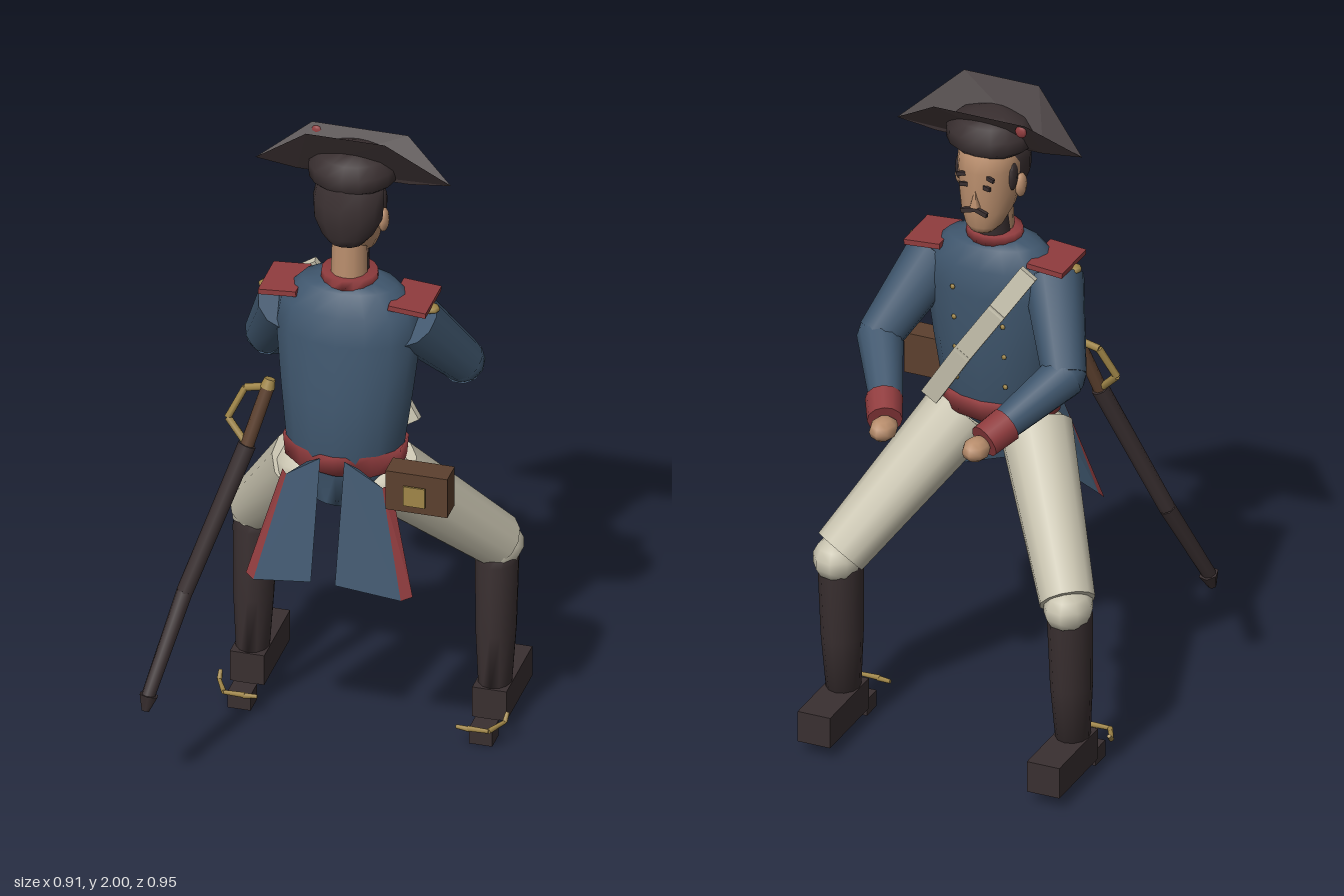
import * as THREE from 'three';

const mat = (name, color, side = THREE.FrontSide) => {
  const m = new THREE.MeshStandardMaterial({ color, side });
  m.name = name;
  return m;
};
const V = (p) => new THREE.Vector3(...p);

export function createModel() {
  const blue = mat('coat blue', 0x3f566d, THREE.DoubleSide);
  const red = mat('facing red', 0x903c3e, THREE.DoubleSide);
  const cream = mat('breeches cream', 0xc9c4b0);
  const skin = mat('skin', 0xb88d6c);
  const dark = mat('black leather', 0x392f30, THREE.DoubleSide);
  const brown = mat('brown leather', 0x5c402e);
  const gold = mat('brass', 0xa08648);

  const root = new THREE.Group();
  root.name = 'cavalryman';
  const body = new THREE.Group();
  body.name = 'body';
  body.position.x = 0.032;
  root.add(body);

  const add = (name, geo, m, pos = [0, 0, 0], parent = body) => {
    const mesh = new THREE.Mesh(geo, m);
    mesh.name = name;
    mesh.position.set(...pos);
    parent.add(mesh);
    return mesh;
  };
  const box = (name, size, pos, m, parent) => add(name, new THREE.BoxGeometry(...size), m, pos, parent);
  const ball = (name, r, pos, m, w = 12, h = 8) =>
    add(name, new THREE.SphereGeometry(1, w, h).scale(...r), m, pos);
  // Tapered round limb between two points
  const limb = (name, a, b, ra, rb, m, parent = body, sides = 12) => {
    const p = V(a), d = V(b).sub(p);
    const mesh = add(name, new THREE.CylinderGeometry(rb, ra, d.length(), sides), m, [0, 0, 0], parent);
    mesh.position.copy(p).addScaledVector(d, 0.5);
    mesh.quaternion.setFromUnitVectors(new THREE.Vector3(0, 1, 0), d.normalize());
    return mesh;
  };
  // Flat sheet as a triangle fan
  const sheet = (name, pts, m) => {
    const pos = [];
    for (let i = 1; i < pts.length - 1; i++) pos.push(...pts[0], ...pts[i], ...pts[i + 1]);
    const g = new THREE.BufferGeometry();
    g.setAttribute('position', new THREE.Float32BufferAttribute(pos, 3));
    g.computeVertexNormals();
    return add(name, g, m);
  };
  // Stacked ellipses: [y, rx, rz, zCentre], closed at both ends
  const loft = (name, rings, m, sides = 16) => {
    const pos = [], idx = [], n = rings.length;
    rings.forEach(([y, rx, rz, zc]) => {
      for (let i = 0; i < sides; i++) {
        const t = (i / sides) * Math.PI * 2;
        pos.push(Math.sin(t) * rx, y, zc + Math.cos(t) * rz);
      }
    });
    for (let j = 0; j < n - 1; j++) for (let i = 0; i < sides; i++) {
      const a = j * sides + i, b = j * sides + ((i + 1) % sides);
      idx.push(a, b, b + sides, a, b + sides, a + sides);
    }
    for (let i = 1; i < sides - 1; i++) {
      const t = (n - 1) * sides;
      idx.push(0, i + 1, i, t, t + i, t + i + 1);
    }
    const g = new THREE.BufferGeometry();
    g.setAttribute('position', new THREE.Float32BufferAttribute(pos, 3));
    g.setIndex(idx);
    g.computeVertexNormals();
    return add(name, g, m);
  };

  // Coat body, collar and waist sash
  loft('coat', [
    [0.86, 0.08, 0.06, 0.09], [0.97, 0.15, 0.11, 0.05], [1.04, 0.172, 0.135, 0.05],
    [1.2, 0.192, 0.14, 0.035], [1.38, 0.212, 0.136, 0.02], [1.46, 0.2, 0.12, 0.015],
    [1.52, 0.14, 0.088, 0.01], [1.535, 0.08, 0.07, 0.01],
  ], blue);
  loft('collar', [[1.525, 0.083, 0.08, 0.01], [1.555, 0.08, 0.076, 0.01]], red);
  loft('waistSash', [[0.968, 0.175, 0.122, 0.048], [1.038, 0.18, 0.14, 0.048]], red, 10);

  // Shoulder strap across the chest
  const strap = [[-0.15, 1.48, -0.098], [-0.07, 1.36, -0.125], [0.04, 1.2, -0.115], [0.15, 1.03, -0.088]];
  for (let i = 0; i < strap.length - 1; i++) {
    const a = V(strap[i]), b = V(strap[i + 1]);
    const m = box('shoulderStrap', [0.055, 0.022, a.distanceTo(b) + 0.015], [0, 0, 0], cream);
    m.position.copy(a).lerp(b, 0.5);
    m.up.set(0, 0, 1);
    const target = b.clone();
    m.parent.remove(m);
    m.lookAt(target);
    body.add(m);
  }

  for (const s of [1, -1]) {
    const P = (x, y, z) => [s * x, y, z];

    // Epaulettes
    box('epaulette', [0.11, 0.016, 0.16], P(0.189, 1.488, 0.01), red).rotation.z = -s * 0.08;
    ball('epauletteKnob', [0.03, 0.014, 0.024], P(0.235, 1.467, 0.015), gold, 8, 6);

    // Arms
    limb('upperArm', P(0.178, 1.425, 0.015), P(0.285, 1.215, -0.145), 0.088, 0.064, blue);
    ball('elbow', [0.064, 0.064, 0.064], P(0.283, 1.215, -0.145), blue);
    limb('forearm', P(0.285, 1.215, -0.14), P(0.168, 1.11, -0.35), 0.066, 0.045, blue);
    limb('cuff', P(0.188, 1.125, -0.325), P(0.153, 1.098, -0.395), 0.053, 0.05, red);
    ball('hand', [0.04, 0.034, 0.052], P(0.143, 1.087, -0.425), skin, 8, 6);

    // Legs and boots
    limb('thigh', P(0.115, 0.925, 0.035), P(0.35, 0.57, -0.265), 0.105, 0.08, cream);
    ball('hip', [0.1, 0.075, 0.1], P(0.115, 0.91, 0.03), cream);
    ball('knee', [0.07, 0.066, 0.084], P(0.355, 0.555, -0.27), cream, 9, 7);
    const boot = loft('boot', [[0.12, 0.048, 0.055, -0.235], [0.3, 0.058, 0.07, -0.245],
      [0.52, 0.062, 0.077, -0.255], [0.56, 0.055, 0.06, -0.26]], dark, 12);
    boot.position.x = s * 0.353;
    box('bootFoot', [0.1, 0.095, 0.26], P(0.353, 0.085, -0.305), dark);
    box('heel', [0.068, 0.05, 0.065], P(0.352, 0.025, -0.123), dark);

    // Spurs
    const spur = [P(0.325, 0.07, -0.055), P(0.385, 0.07, -0.055), P(0.416, 0.072, -0.115), P(0.418, 0.092, -0.135)];
    for (let i = 0; i < 3; i++) limb('spur', spur[i], spur[i + 1], 0.008, 0.006, gold, body, 6);
    limb('spurStrap', P(0.29, 0.068, -0.06), P(0.33, 0.068, -0.055), 0.006, 0.008, gold, body, 6);

    // Coat tails with a red turned edge
    sheet('coatTail', [P(0.035, 1.03, 0.186), P(0.035, 0.68, 0.28), P(0.215, 0.635, 0.238),
      P(0.14, 0.95, 0.165), P(0.075, 1.01, 0.18)], blue);
    sheet('coatTailEdge', [P(0.14, 0.95, 0.165), P(0.215, 0.635, 0.238), P(0.243, 0.64, 0.215),
      P(0.158, 0.95, 0.14)], red);

    // Coat buttons
    for (let i = 0; i < 4; i++)
      ball('button', [0.008, 0.008, 0.006], P(0.075, 1.1 + i * 0.1, -0.084 - i * 0.009), gold, 6, 4);

    // Face sides
    ball('ear', [0.016, 0.037, 0.025], P(0.092, 1.715, -0.015), skin, 8, 6);
    ball('sideburn', [0.012, 0.045, 0.024], P(0.081, 1.755, -0.045), dark, 8, 6);
    box('eye', [0.024, 0.012, 0.008], P(0.036, 1.742, -0.122), dark).rotation.y = s * 0.3;
    const brow = box('eyebrow', [0.042, 0.012, 0.008], P(0.038, 1.772, -0.116), dark);
    brow.rotation.set(0, s * 0.35, -s * 0.12);
    const tache = box('moustache', [0.042, 0.014, 0.01], P(0.02, 1.665, -0.126), dark);
    tache.rotation.set(0, s * 0.2, -s * 0.2);
  }

  // Neck, head and hair
  limb('neck', [0, 1.53, 0.015], [0, 1.68, 0.01], 0.054, 0.05, skin);
  limb('neckStock', [0, 1.54, -0.004], [0, 1.605, -0.012], 0.054, 0.05, dark);
  loft('head', [[1.585, 0.035, 0.035, -0.07], [1.605, 0.055, 0.055, -0.06], [1.65, 0.075, 0.088, -0.035],
    [1.71, 0.086, 0.108, -0.018], [1.78, 0.09, 0.108, -0.018], [1.86, 0.085, 0.1, -0.018]], skin);
  const nose = add('nose', new THREE.ConeGeometry(0.017, 0.06, 5), skin, [0, 1.707, -0.124]);
  nose.scale.z = 0.9;
  loft('hair', [[1.665, 0.05, 0.04, 0.045], [1.69, 0.075, 0.06, 0.035], [1.74, 0.1, 0.08, 0.025],
    [1.79, 0.103, 0.083, 0.022], [1.85, 0.095, 0.1, -0.01]], dark, 12);

  // Hat: round crown between two raised flaps that meet at the side tips
  loft('hatCrown', [[1.825, 0.098, 0.09, -0.02], [1.845, 0.125, 0.11, -0.02], [1.885, 0.126, 0.112, -0.02],
    [1.915, 0.098, 0.085, -0.02], [1.932, 0.05, 0.045, -0.02]], dark);
  const flap = (name, w, y, z) => sheet(name, [[-0.165, 1.835, -0.025], [0.165, 1.835, -0.025],
    [0.285, 1.85, -0.025], [w, y, z], [-w, y, z], [-0.285, 1.85, -0.025]], dark);
  flap('hatRearFlap', 0.115, 2.0, 0.055);
  flap('hatFrontFlap', 0.14, 1.95, -0.095);
  ball('cockade', [0.018, 0.018, 0.008], [-0.125, 1.925, -0.088], red, 8, 6);

  // Pouch on the hip
  box('pouch', [0.18, 0.125, 0.075], [0.293, 0.9925, 0.2025], brown, root);
  box('pouchPlate', [0.064, 0.062, 0.006], [0.29, 0.99, 0.253], gold, root);

  // Sabre with scabbard, grip and knuckle guard
  const sabre = new THREE.Group();
  sabre.name = 'sabre';
  root.add(sabre);
  const sc = [[-0.225, 1.02, 0.155], [-0.365, 0.6, 0.3], [-0.43, 0.33, 0.445]];
  limb('scabbard', sc[0], sc[1], 0.026, 0.024, dark, sabre, 8);
  limb('scabbard', sc[1], sc[2], 0.024, 0.02, dark, sabre, 8);
  limb('scabbardTip', [-0.428, 0.335, 0.442], [-0.434, 0.29, 0.455], 0.029, 0.012, dark, sabre, 6);
  limb('grip', sc[0], [-0.178, 1.19, 0.105], 0.02, 0.019, brown, sabre, 8);
  limb('pommel', [-0.18, 1.185, 0.107], [-0.174, 1.212, 0.1], 0.022, 0.016, gold, sabre, 8);
  const guard = [[-0.178, 1.19, 0.105], [-0.245, 1.175, 0.105], [-0.288, 1.085, 0.13], [-0.225, 1.02, 0.155]];
  for (let i = 0; i < 3; i++) limb('knuckleGuard', guard[i], guard[i + 1], 0.011, 0.011, gold, sabre, 6);
  return root;
}
